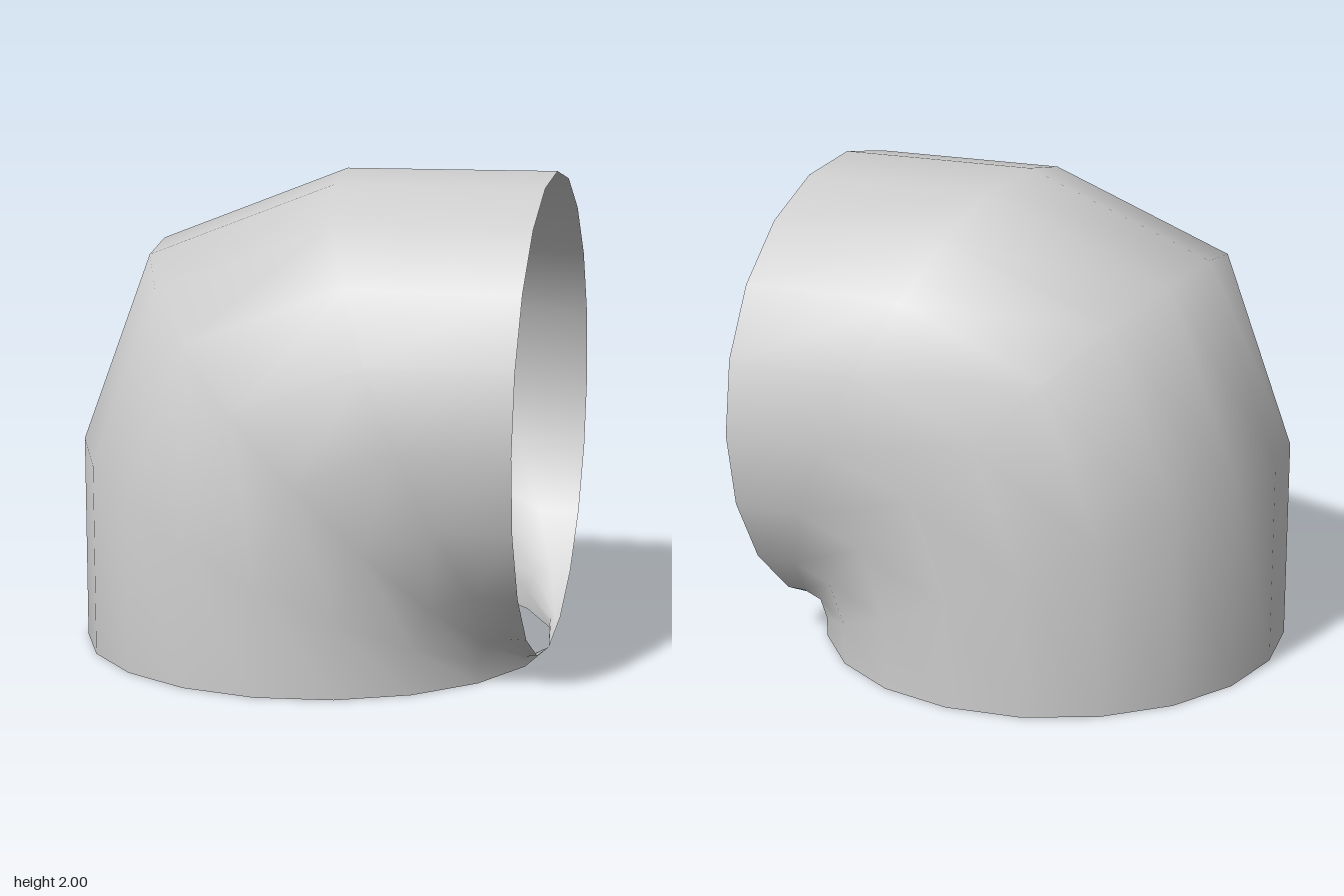
import * as THREE from 'three';

const SIDES = 20;
// Outer line of the bend; every ring hinges on the inner corner
const OUTER = [[-1, 0], [-1, 0.88], [-0.69, 1.69], [0.12, 2], [1, 2]];
const HINGE = [1, 0];

// Mitred elbow skin: each ring is an ellipse from the hinge to its outer point
function elbowGeometry() {
  const positions = [];
  const index = [];
  for (const [ox, oy] of OUTER) {
    for (let j = 0; j < SIDES; j++) {
      const a = (j / SIDES) * Math.PI * 2;
      const t = (1 + Math.cos(a)) / 2;
      positions.push(
        HINGE[0] + (ox - HINGE[0]) * t,
        HINGE[1] + (oy - HINGE[1]) * t,
        Math.sin(a)
      );
    }
  }
  // All rings share one vertex at the hinge
  const pole = SIDES / 2;
  const id = (k, j) => (j % SIDES === pole ? pole : k * SIDES + (j % SIDES));
  for (let k = 0; k < OUTER.length - 1; k++) {
    for (let j = 0; j < SIDES; j++) {
      const a = id(k, j), b = id(k, j + 1), c = id(k + 1, j + 1), d = id(k + 1, j);
      if (a !== d) index.push(a, b, d);
      if (b !== c) index.push(b, c, d);
    }
  }
  const geometry = new THREE.BufferGeometry();
  geometry.setAttribute('position', new THREE.Float32BufferAttribute(positions, 3));
  geometry.setIndex(index);
  geometry.computeVertexNormals();
  return geometry;
}

export function createModel() {
  const group = new THREE.Group();
  group.name = 'pipeElbow';
  // Thin open pipe wall, seen from both sides
  const material = new THREE.MeshStandardMaterial({ color: 0xcccccc, side: THREE.DoubleSide });
  const wall = new THREE.Mesh(elbowGeometry(), material);
  wall.name = 'elbowWall';
  group.add(wall);
  return group;
}
